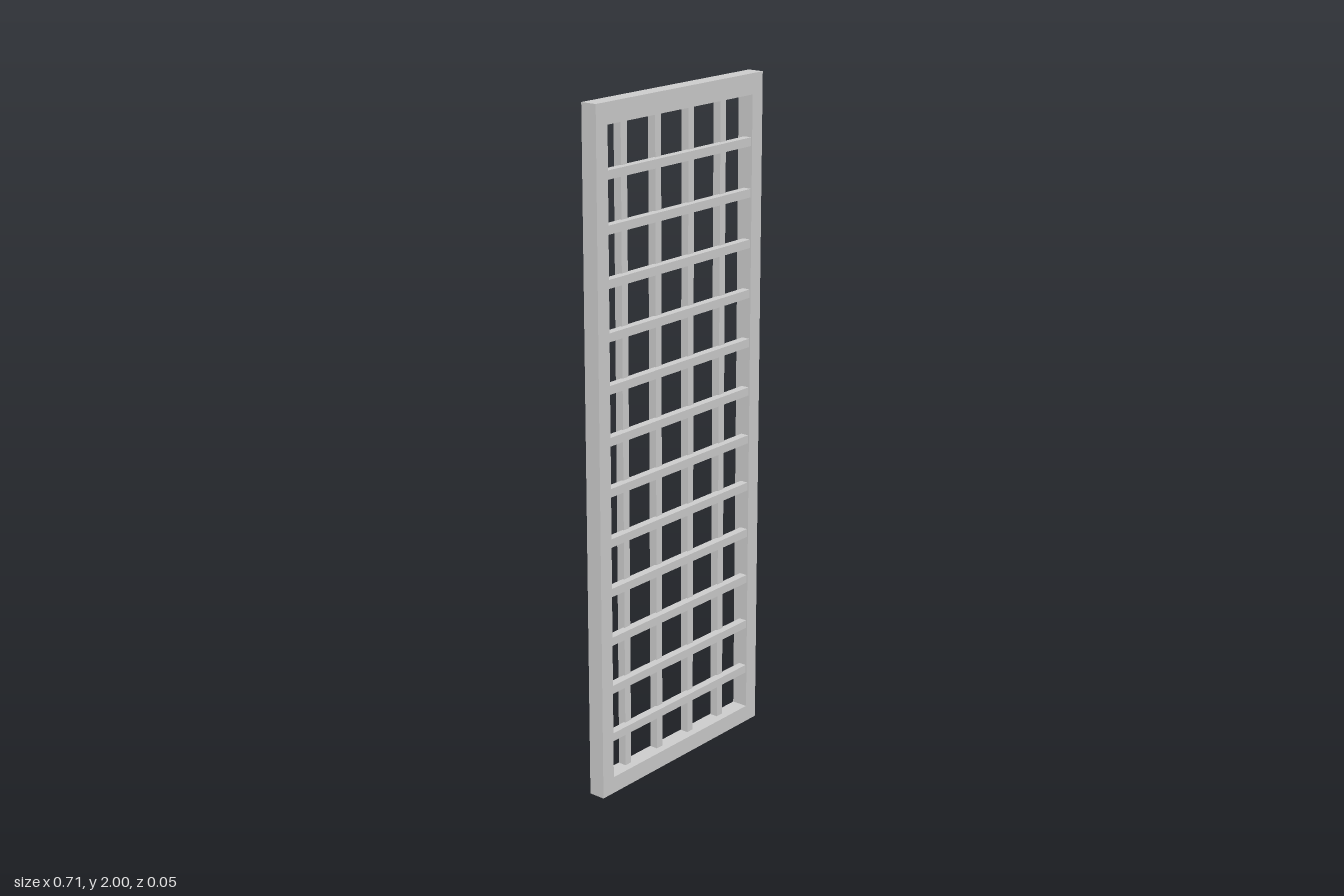
import * as THREE from 'three';

const material = new THREE.MeshStandardMaterial({ color: 0xcccccc, flatShading: true });

// Outer frame size and its opening
const HALF_W = 0.357, HEIGHT = 2, DEPTH = 0.05;
const OPEN_X = 0.311, OPEN_BOTTOM = 0.05, OPEN_TOP = 1.94;
const BAR = 0.025;

function rectangle(path, x0, y0, x1, y1) {
  path.moveTo(x0, y0);
  path.lineTo(x1, y0);
  path.lineTo(x1, y1);
  path.lineTo(x0, y1);
  path.closePath();
  return path;
}

function addBar(group, name, w, h, d, x, y, z) {
  const bar = new THREE.Mesh(new THREE.BoxGeometry(w, h, d), material);
  bar.name = name;
  bar.position.set(x, y, z);
  group.add(bar);
}

export function createModel() {
  const model = new THREE.Group();
  model.name = 'latticePanel';

  // Solid border around the lattice
  const outline = rectangle(new THREE.Shape(), -HALF_W, 0, HALF_W, HEIGHT);
  outline.holes.push(rectangle(new THREE.Path(), -OPEN_X, OPEN_BOTTOM, OPEN_X, OPEN_TOP));
  const frameGeometry = new THREE.ExtrudeGeometry(outline, { depth: DEPTH, bevelEnabled: false });
  frameGeometry.translate(0, 0, -DEPTH / 2);
  const frame = new THREE.Mesh(frameGeometry, material);
  frame.name = 'frame';
  model.add(frame);

  // Upright slats in the back layer
  const uprights = new THREE.Group();
  uprights.name = 'uprightSlats';
  const openHeight = OPEN_TOP - OPEN_BOTTOM;
  for (let i = 0; i < 4; i++) {
    addBar(uprights, 'uprightSlat', BAR, openHeight, BAR,
      -0.219 + i * 0.1423, OPEN_BOTTOM + openHeight / 2, -0.011);
  }
  model.add(uprights);

  // Cross slats in the front layer
  const crossSlats = new THREE.Group();
  crossSlats.name = 'crossSlats';
  for (let i = 0; i < 12; i++) {
    addBar(crossSlats, 'crossSlat', OPEN_X * 2, BAR, BAR, 0, 0.174 + i * 0.1483, 0.009);
  }
  model.add(crossSlats);

  return model;
}
